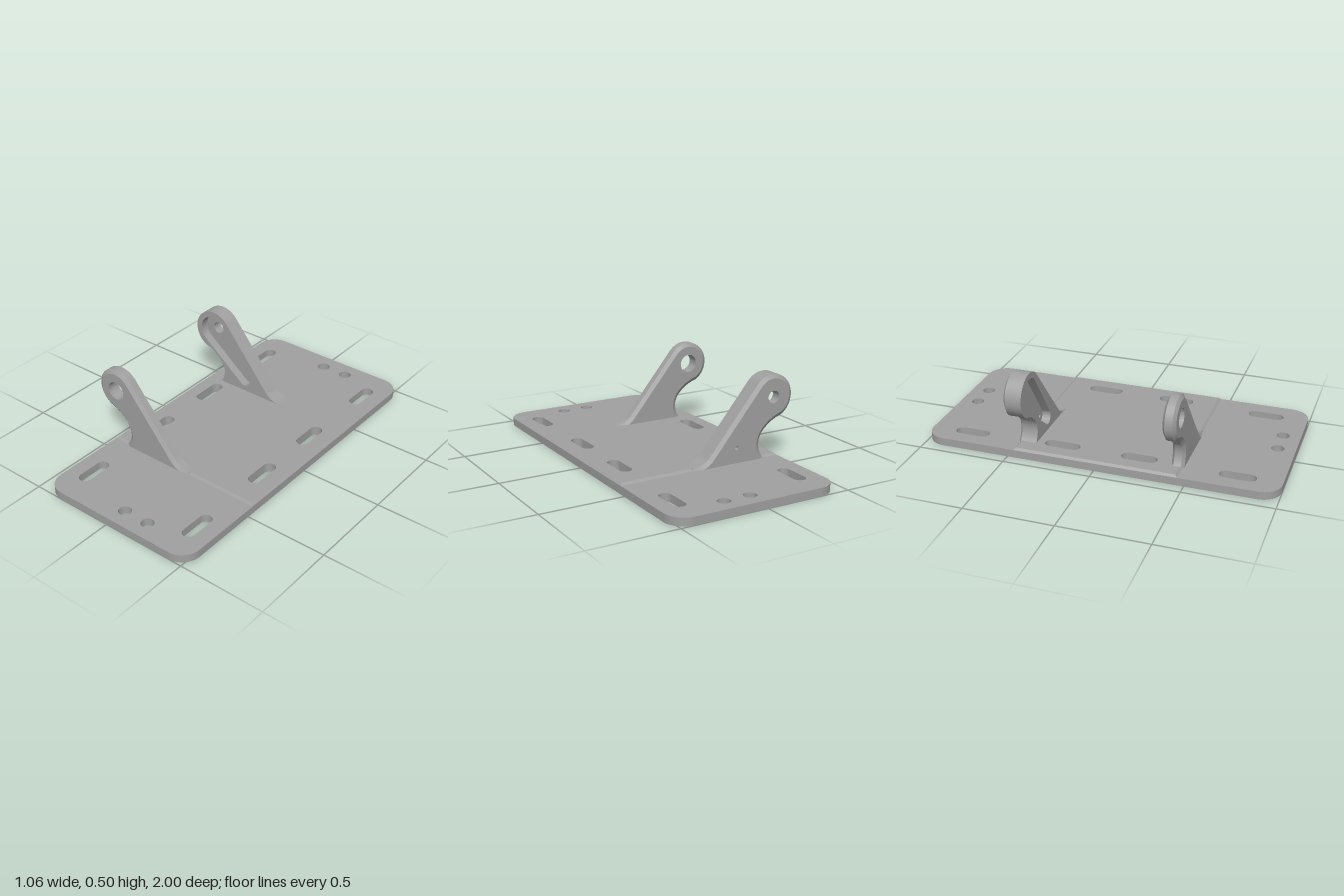
import * as THREE from 'three';
import { toCreasedNormals } from 'three/addons/utils/BufferGeometryUtils.js';

const metal = new THREE.MeshStandardMaterial({ color: 0xa0a0a0 });
metal.name = 'grey metal';

const X0 = -0.44, X1 = 0.53, PLATE_TOP = 0.045, PAD_TOP = 0.057, PAD_Z = 0.463;
const EYE = new THREE.Vector2(-0.405, 0.38);
const POCKET_END = new THREE.Vector2(-0.17, 0.13);

function part(name, geometry) {
  const mesh = new THREE.Mesh(toCreasedNormals(geometry, 0.5), metal);
  mesh.name = name;
  return mesh;
}

function circle(x, y, r) {
  return new THREE.Path().absarc(x, y, r, 0, Math.PI * 2, true);
}

// Mounting slot, long in y (which becomes z)
function slot(x, y) {
  const p = new THREE.Path(), r = 0.035, h = 0.066;
  p.absarc(x, y + h, r, 0, Math.PI, false);
  p.absarc(x, y - h, r, Math.PI, Math.PI * 2, false);
  p.closePath();
  return p;
}

function roundedRect(x0, x1, h, r) {
  const s = new THREE.Shape();
  s.absarc(x1 - r, h - r, r, 0, Math.PI / 2);
  s.absarc(x0 + r, h - r, r, Math.PI / 2, Math.PI);
  s.absarc(x0 + r, r - h, r, Math.PI, Math.PI * 1.5);
  s.absarc(x1 - r, r - h, r, Math.PI * 1.5, Math.PI * 2);
  s.closePath();
  return s;
}

function flatExtrude(shape, y, depth) {
  return new THREE.ExtrudeGeometry(shape, { depth, bevelEnabled: false, curveSegments: 16 })
    .rotateX(-Math.PI / 2).translate(0, y, 0);
}

// Side outline shared by both arms: eye, sloping back edge, scooped front edge
function armShape() {
  const s = new THREE.Shape();
  s.moveTo(0.1, 0.02);
  s.lineTo(0.1, PAD_TOP);
  s.quadraticCurveTo(0.027, PAD_TOP, -0.009, 0.1);
  s.absarc(EYE.x, EYE.y, 0.125, 0.694, THREE.MathUtils.degToRad(244), false);
  s.quadraticCurveTo(-0.402, 0.253, -0.352, 0.203);
  s.absarc(-0.43, 0.125, 0.11, Math.PI / 4, -1.27, true);
  s.closePath();
  return s;
}

// Chamfered arm between two z values; bores stay straight, one side may stay square
function chamferedArm(bores, z0, z1, squareFront) {
  const shape = armShape(), t = 0.015, size = 0.022;
  bores.forEach(b => shape.holes.push(circle(b.x, b.y, b.r)));
  const depth = z1 - z0 - (squareFront ? t : 2 * t);
  const g = new THREE.ExtrudeGeometry(shape, {
    depth, bevelEnabled: true, bevelThickness: t, bevelSize: size,
    bevelOffset: -size, bevelSegments: 1, curveSegments: 24
  });
  const p = g.attributes.position;
  for (let i = 0; i < p.count; i++) {
    for (const b of bores) {
      const dx = p.getX(i) - b.x, dy = p.getY(i) - b.y, d = Math.hypot(dx, dy);
      if (d < b.r + size + 0.004) p.setXY(i, b.x + dx / d * b.r, b.y + dy / d * b.r);
    }
    if (squareFront && p.getZ(i) > depth) p.setZ(i, depth);
  }
  return g.translate(0, 0, z0 + t);
}

// Tapered pocket outline running from the eye down the arm
function pocket() {
  const p = new THREE.Path(), r1 = 0.09, r2 = 0.04;
  const axis = POCKET_END.clone().sub(EYE);
  const a = Math.atan2(axis.y, axis.x), f = Math.acos((r1 - r2) / axis.length());
  p.absarc(EYE.x, EYE.y, r1, a + f, a - f + Math.PI * 2, false);
  p.absarc(POCKET_END.x, POCKET_END.y, r2, a - f, a + f, false);
  p.closePath();
  return p;
}

export function createModel() {
  const group = new THREE.Group();
  group.name = 'mountingBracket';

  // Base plate with slots and round holes
  const plate = roundedRect(X0, X1, 1, 0.11);
  for (const x of [-0.32, 0.405]) {
    for (const z of [-0.76, -0.22, 0.22, 0.76]) plate.holes.push(slot(x, z));
  }
  for (const x of [0.04, 0.195]) {
    for (const z of [-0.9, 0.9]) plate.holes.push(circle(x, z, 0.036));
  }
  group.add(part('basePlate', flatExtrude(plate, 0, PLATE_TOP)));

  // Raised pad with chamfered top edges
  const pad = new THREE.Shape([
    new THREE.Vector2(X0, -PAD_Z), new THREE.Vector2(X1, -PAD_Z),
    new THREE.Vector2(X1, PAD_Z), new THREE.Vector2(X0, PAD_Z)
  ]);
  for (const x of [-0.32, 0.405]) for (const z of [-0.22, 0.22]) pad.holes.push(slot(x, z));
  const padGeometry = flatExtrude(pad, PLATE_TOP, PAD_TOP - PLATE_TOP);
  const pos = padGeometry.attributes.position, inset = 0.012;
  for (let i = 0; i < pos.count; i++) {
    if (pos.getY(i) < PAD_TOP - 0.001) continue;
    pos.setX(i, THREE.MathUtils.clamp(pos.getX(i), X0 + inset, X1 - inset));
    pos.setZ(i, THREE.MathUtils.clamp(pos.getZ(i), -PAD_Z + inset, PAD_Z - inset));
  }
  group.add(part('raisedPad', padGeometry));

  // Front arm with the wide bore
  group.add(part('frontArm',
    chamferedArm([{ x: EYE.x, y: EYE.y, r: 0.053 }], 0.4, 0.472, false)));

  // Back arm: bored outer wall plus a rim around the inner pocket
  const rearArm = new THREE.Group();
  rearArm.name = 'backArm';
  rearArm.add(part('backArmWall', chamferedArm([
    { x: EYE.x, y: EYE.y, r: 0.035 },
    { x: POCKET_END.x, y: POCKET_END.y, r: 0.01 }
  ], -0.472, -0.415, true)));
  const rim = armShape();
  rim.holes.push(pocket());
  rearArm.add(part('backArmRim', new THREE.ExtrudeGeometry(rim, {
    depth: 0.05, bevelEnabled: false, curveSegments: 24
  }).translate(0, 0, -0.415)));
  group.add(rearArm);

  return group;
}
